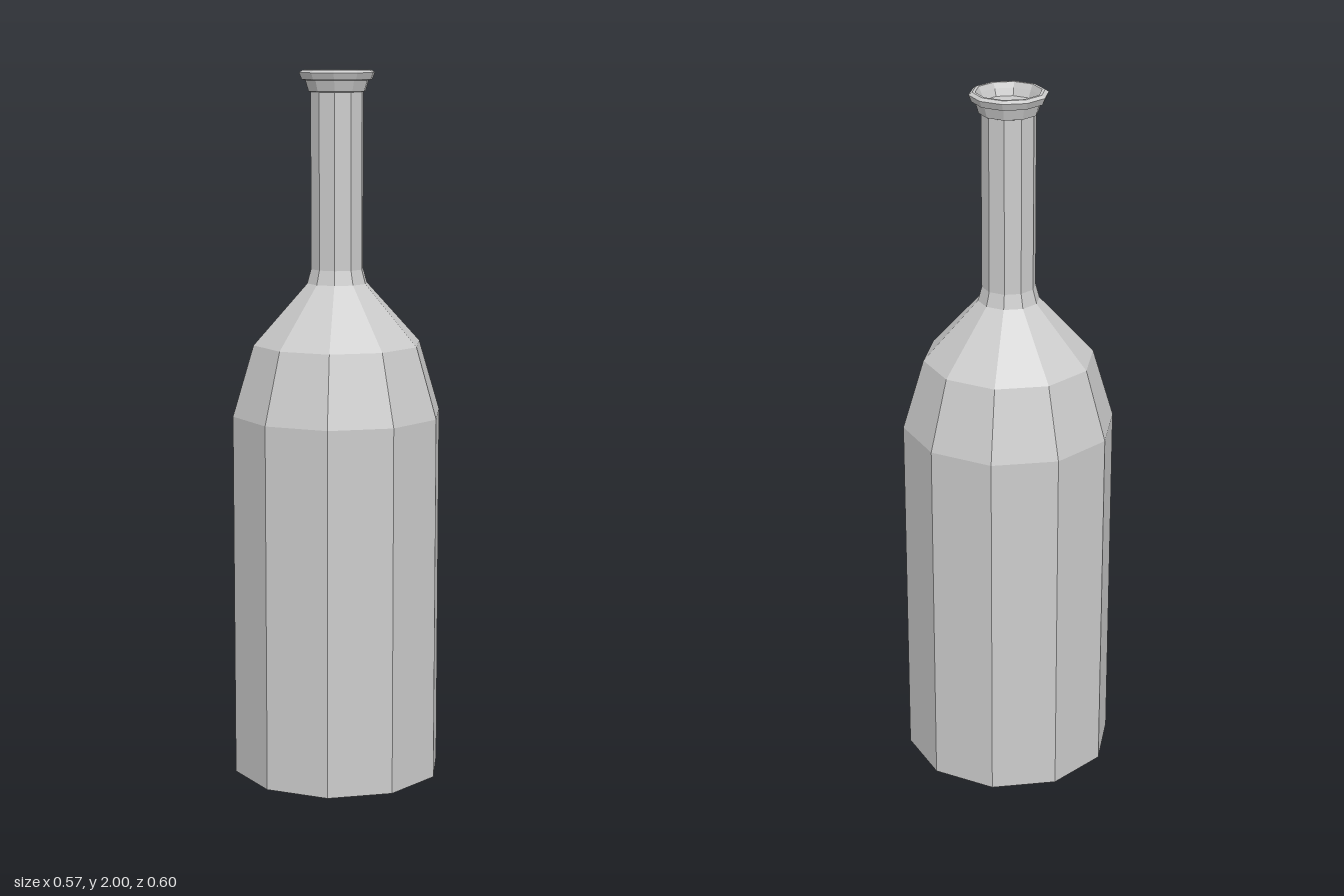
import * as THREE from 'three';

const SIDES = 10;
const material = new THREE.MeshStandardMaterial({ color: 0xcccccc, flatShading: true, side: THREE.DoubleSide });

// Ten-sided turned part from [radius, height] pairs, listed bottom to top
function turned(name, profile) {
  const points = profile.map(([r, y]) => new THREE.Vector2(r, y));
  const mesh = new THREE.Mesh(new THREE.LatheGeometry(points, SIDES), material);
  mesh.name = name;
  return mesh;
}

export function createModel() {
  const bottle = new THREE.Group();
  bottle.name = 'bottle';

  bottle.add(
    // Recessed underside
    turned('base', [[0, 0.045], [0.22, 0.045], [0.3, 0]]),
    // Straight body
    turned('body', [[0.3, 0], [0.3, 1.04]]),
    // Two-step shoulder narrowing to the neck
    turned('shoulder', [[0.3, 1.04], [0.24, 1.24], [0.086, 1.41]]),
    // Neck, flared slightly at both ends
    turned('neck', [[0.086, 1.41], [0.075, 1.45], [0.075, 1.94], [0.081, 1.942], [0.09, 1.972]]),
    // Projecting lip with bevelled rim
    turned('lip', [[0.09, 1.972], [0.1, 1.974], [0.108, 1.993], [0.098, 2], [0.09, 2]]),
    // Shallow mouth inside the lip
    turned('mouth', [[0.09, 2], [0.083, 1.985], [0.075, 1.965], [0, 1.965]]),
  );
  return bottle;
}
